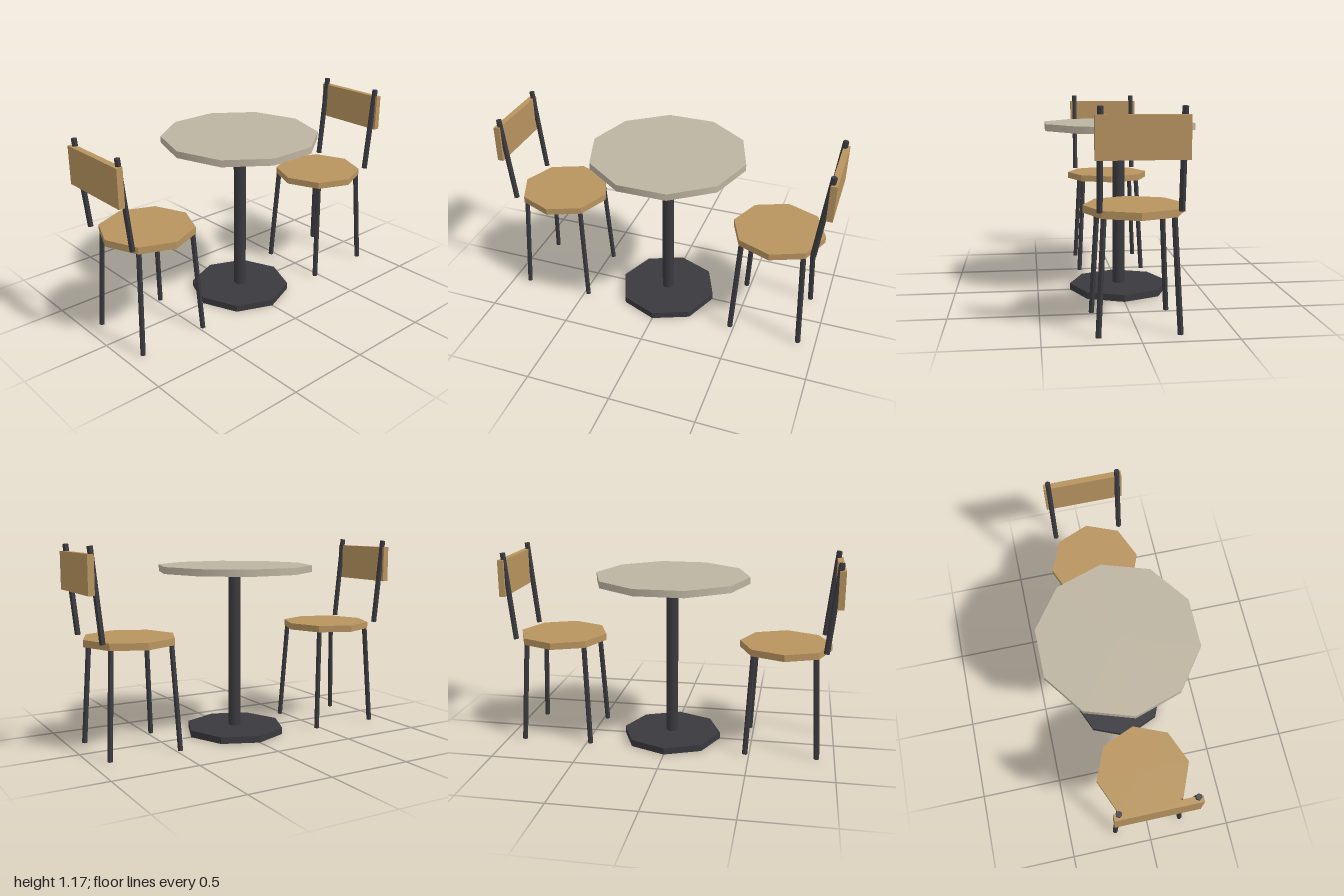
import * as THREE from 'three';

const material = (name, color) => {
  const m = new THREE.MeshStandardMaterial({ color });
  m.name = name;
  return m;
};

function part(name, geometry, mat, x = 0, y = 0, z = 0) {
  const mesh = new THREE.Mesh(geometry, mat);
  mesh.name = name;
  mesh.position.set(x, y, z);
  return mesh;
}

// Faceted prism with flat sides
function prism(radius, height, sides) {
  const g = new THREE.CylinderGeometry(radius, radius, height, sides).toNonIndexed();
  g.computeVertexNormals();
  return g;
}

// Thin six-sided rod between two points
function rod(name, from, to, radius, mat) {
  const a = new THREE.Vector3(...from), b = new THREE.Vector3(...to);
  const dir = b.clone().sub(a);
  const mesh = part(name, prism(radius, dir.length(), 6), mat);
  mesh.position.copy(a).add(b).multiplyScalar(0.5);
  mesh.quaternion.setFromUnitVectors(new THREE.Vector3(0, 1, 0), dir.normalize());
  return mesh;
}

// Chair placed in front of the table, its back towards +z
function createChair(name, wood, metal) {
  const chair = new THREE.Group();
  chair.name = name;
  const seatZ = 0.686;
  chair.add(part('seat', prism(0.272, 0.04, 8), wood, 0, 0.626, seatZ));
  chair.add(part('backrest', new THREE.BoxGeometry(0.466, 0.217, 0.036), wood, 0, 1.0165, 0.982));
  for (const sx of [-1, 1]) {
    for (const sz of [-1, 1]) {
      chair.add(rod('leg', [sx * 0.211, 0.001, seatZ + sz * 0.211],
        [sx * 0.179, 0.61, seatZ + sz * 0.179], 0.016, metal));
    }
    chair.add(rod('backUpright', [sx * 0.205, 0.646, 0.92], [sx * 0.205, 1.165, 0.975], 0.017, metal));
  }
  return chair;
}

export function createModel() {
  const wood = material('wood', 0xb8945f);
  const metal = material('dark metal', 0x3a393e);
  const stone = material('table top stone', 0xbdb4a1);

  const model = new THREE.Group();
  model.name = 'cafeTableSet';

  // Pedestal table
  const table = new THREE.Group();
  table.name = 'table';
  table.add(part('tableTop', new THREE.CylinderGeometry(0.465, 0.465, 0.04, 10), stone, 0, 1.01, 0));
  table.add(part('post', new THREE.CylinderGeometry(0.037, 0.037, 0.95, 10), metal, 0, 0.515, 0));
  table.add(part('base', prism(0.302, 0.04, 8), metal, 0, 0.02, 0));
  model.add(table);

  // Two chairs facing each other
  const rearChair = createChair('rearChair', wood, metal);
  rearChair.rotation.y = Math.PI;
  model.add(createChair('frontChair', wood, metal), rearChair);

  return model;
}
